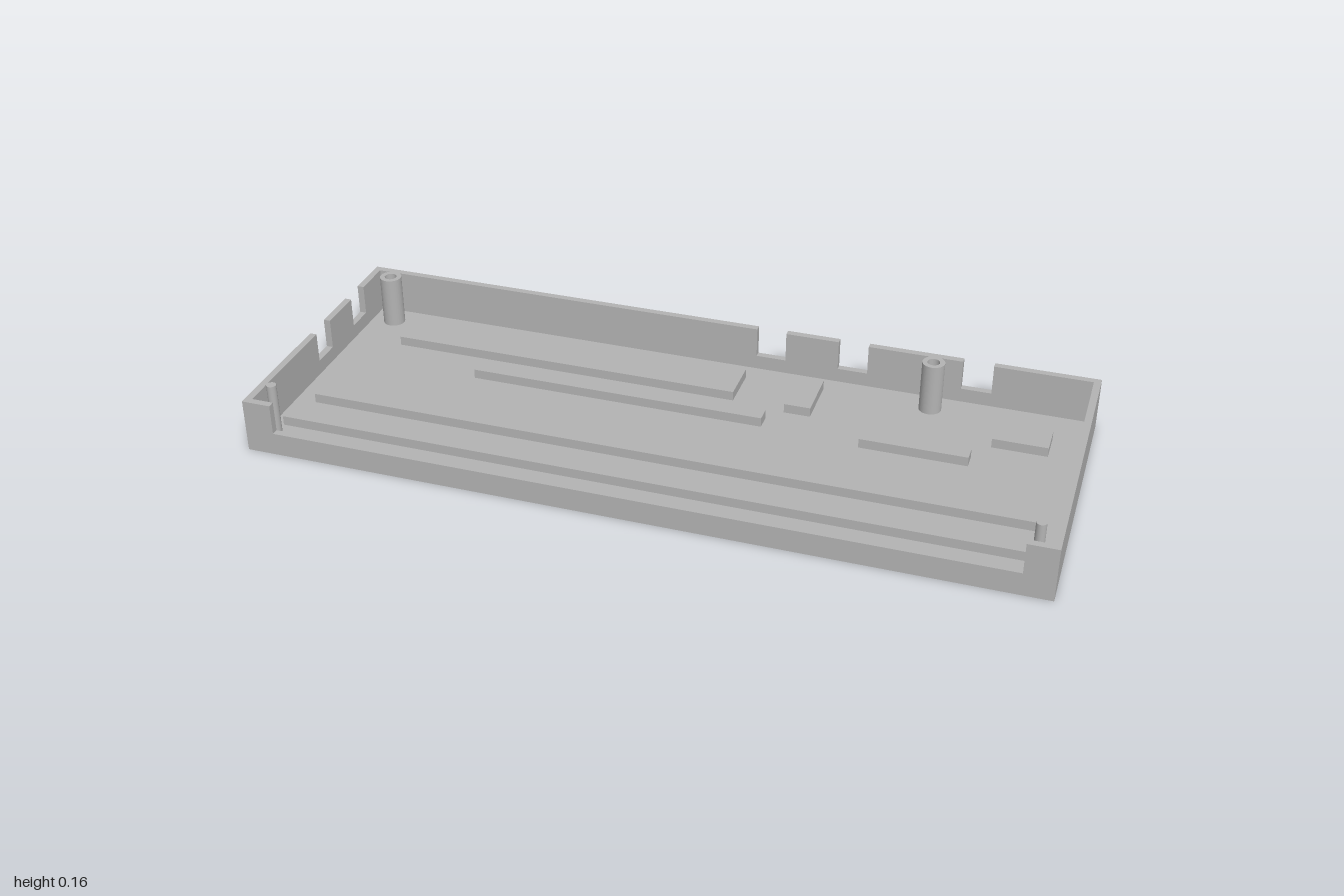
import * as THREE from 'three';

const W = 1, D = 0.377, H = 0.14, T = 0.018, FLOOR = 0.022, SILL = 0.06;

export function createModel() {
  const model = new THREE.Group();
  model.name = 'enclosureTray';
  const grey = new THREE.MeshStandardMaterial({ color: 0xb3b3b3 });
  grey.name = 'grey plastic';

  const add = (name, geometry) => {
    const mesh = new THREE.Mesh(geometry, grey);
    mesh.name = name;
    model.add(mesh);
    return mesh;
  };

  // Upright wall panel along x, cut down to the sill at each [from, to] notch
  const wall = (name, half, notches) => {
    const s = new THREE.Shape();
    s.moveTo(half, FLOOR);
    s.lineTo(half, H);
    for (const [a, b] of [...notches].reverse()) {
      s.lineTo(b, H);
      s.lineTo(b, SILL);
      s.lineTo(a, SILL);
      s.lineTo(a, H);
    }
    s.lineTo(-half, H);
    s.lineTo(-half, FLOOR);
    return add(name, new THREE.ExtrudeGeometry(s, { depth: T, bevelEnabled: false }));
  };

  // Base plate
  add('floor', new THREE.BoxGeometry(2 * W, FLOOR, 2 * D)).position.y = FLOOR / 2;

  // Walls
  wall('frontWall', W, [[-0.925, 0.925]]).position.z = D - T;
  wall('backWall', W, [[0.108, 0.187], [0.328, 0.407], [0.653, 0.732]]).position.z = -D;
  const right = wall('rightWall', D - T, [[-0.02, 0.056], [0.18, 0.255]]);
  right.rotation.y = Math.PI / 2;
  right.position.x = -W;
  const left = wall('leftWall', D - T, []);
  left.rotation.y = Math.PI / 2;
  left.position.x = W - T;

  // Raised pads and ribs on the floor: x from/to, z from/to
  const top = 0.047;
  const pads = [
    ['longPad', -0.845, 0.095, -0.305, -0.183],
    ['middleRib', -0.585, 0.198, -0.125, -0.083],
    ['smallPad', 0.235, 0.304, -0.31, -0.167],
    ['cornerPad', 0.767, 0.907, -0.25, -0.167],
    ['shortRib', 0.453, 0.727, -0.107, -0.065],
    ['rearRail', -0.927, 0.937, 0.137, 0.156],
    ['frontRail', -0.953, 0.957, 0.25, 0.278],
  ];
  for (const [name, x0, x1, z0, z1] of pads) {
    add(name, new THREE.BoxGeometry(x1 - x0, top - FLOOR, z1 - z0))
      .position.set((x0 + x1) / 2, (FLOOR + top) / 2, (z0 + z1) / 2);
  }

  // Hollow screw posts
  for (const x of [-0.92, 0.587]) {
    const ring = new THREE.Shape().absarc(0, 0, 0.029, 0, Math.PI * 2, false);
    ring.holes.push(new THREE.Path().absarc(0, 0, 0.016, 0, Math.PI * 2, true));
    const post = add('screwPost', new THREE.ExtrudeGeometry(ring,
      { depth: 0.16 - FLOOR, bevelEnabled: false, curveSegments: 32 }));
    post.rotation.x = -Math.PI / 2;
    post.position.set(x, FLOOR, -0.3);
  }

  // Locating pins in the front corners
  for (const x of [-0.952, 0.947]) {
    add('locatingPin', new THREE.CylinderGeometry(0.0125, 0.0125, 0.16 - FLOOR, 24))
      .position.set(x, (0.16 + FLOOR) / 2, 0.313);
  }
  return model;
}
